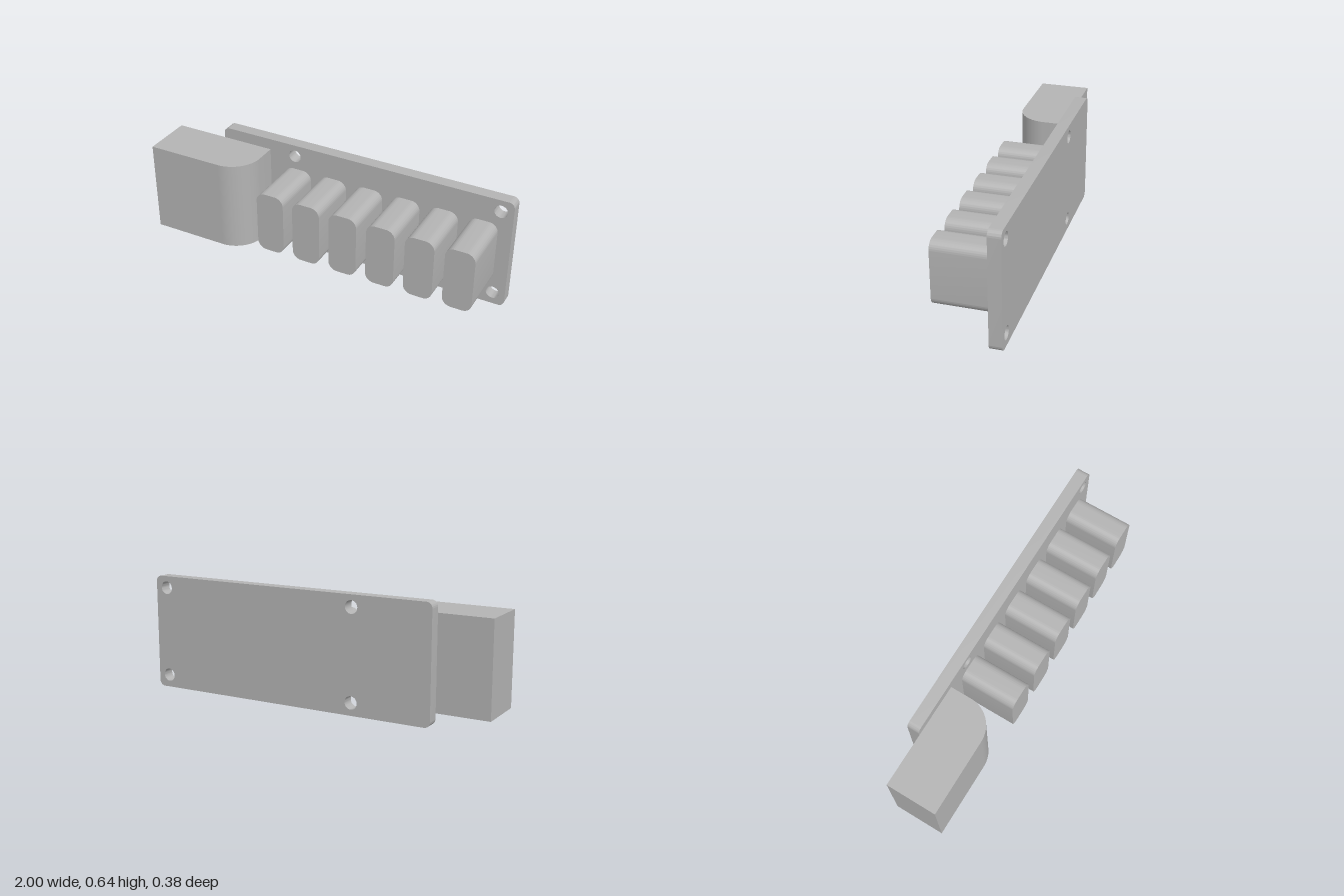
import * as THREE from 'three';
import { toCreasedNormals } from 'three/addons/utils/BufferGeometryUtils.js';

const BACK = -0.188, FACE = -0.12; // back and front of the plate

// Rectangle outline with rounded corners
function roundedRect(x0, y0, x1, y1, r) {
  const s = new THREE.Shape();
  s.absarc(x1 - r, y0 + r, r, -Math.PI / 2, 0);
  s.absarc(x1 - r, y1 - r, r, 0, Math.PI / 2);
  s.absarc(x0 + r, y1 - r, r, Math.PI / 2, Math.PI);
  s.absarc(x0 + r, y0 + r, r, Math.PI, Math.PI * 1.5);
  s.closePath();
  return s;
}

// Straight extrusion, smooth on the curves and sharp at the rims
function extrude(shape, depth) {
  const geo = new THREE.ExtrudeGeometry(shape, { depth, bevelEnabled: false, curveSegments: 16 });
  return toCreasedNormals(geo, 0.6);
}

export function createModel() {
  const group = new THREE.Group();
  const grey = new THREE.MeshStandardMaterial({ color: 0xb3b3b3 });
  grey.name = 'grey';
  const add = (name, geo) => {
    const mesh = new THREE.Mesh(geo, grey);
    mesh.name = name;
    group.add(mesh);
    return mesh;
  };

  // Mounting plate with four screw holes
  const plate = roundedRect(-0.705, 0, 1, 0.642, 0.033);
  for (const x of [-0.254, 0.931]) for (const y of [0.07, 0.576]) {
    plate.holes.push(new THREE.Path().absarc(x, y, 0.036, 0, Math.PI * 2, true));
  }
  add('mountingPlate', extrude(plate, FACE - BACK)).position.z = BACK;

  // Row of six rounded fins
  for (let i = 0; i < 6; i++) {
    const fin = add('fin' + (i + 1), extrude(roundedRect(0, 0.145, 0.16, 0.497, 0.05), 0.19 - FACE));
    fin.position.set(-0.316 + i * 0.2162, 0, FACE);
  }

  // Overhanging end block with one rounded front edge, drawn in plan (y = -z)
  const plan = new THREE.Shape();
  const right = -0.408, front = -0.162, r = 0.165;
  plan.moveTo(-1, -FACE);
  plan.lineTo(-1, front);
  plan.absarc(right - r, front + r, r, -Math.PI / 2, 0);
  plan.lineTo(right, -FACE);
  plan.closePath();
  const block = add('endBlock', extrude(plan, 0.579 - 0.063));
  block.rotation.x = -Math.PI / 2;
  block.position.y = 0.063;

  return group;
}
